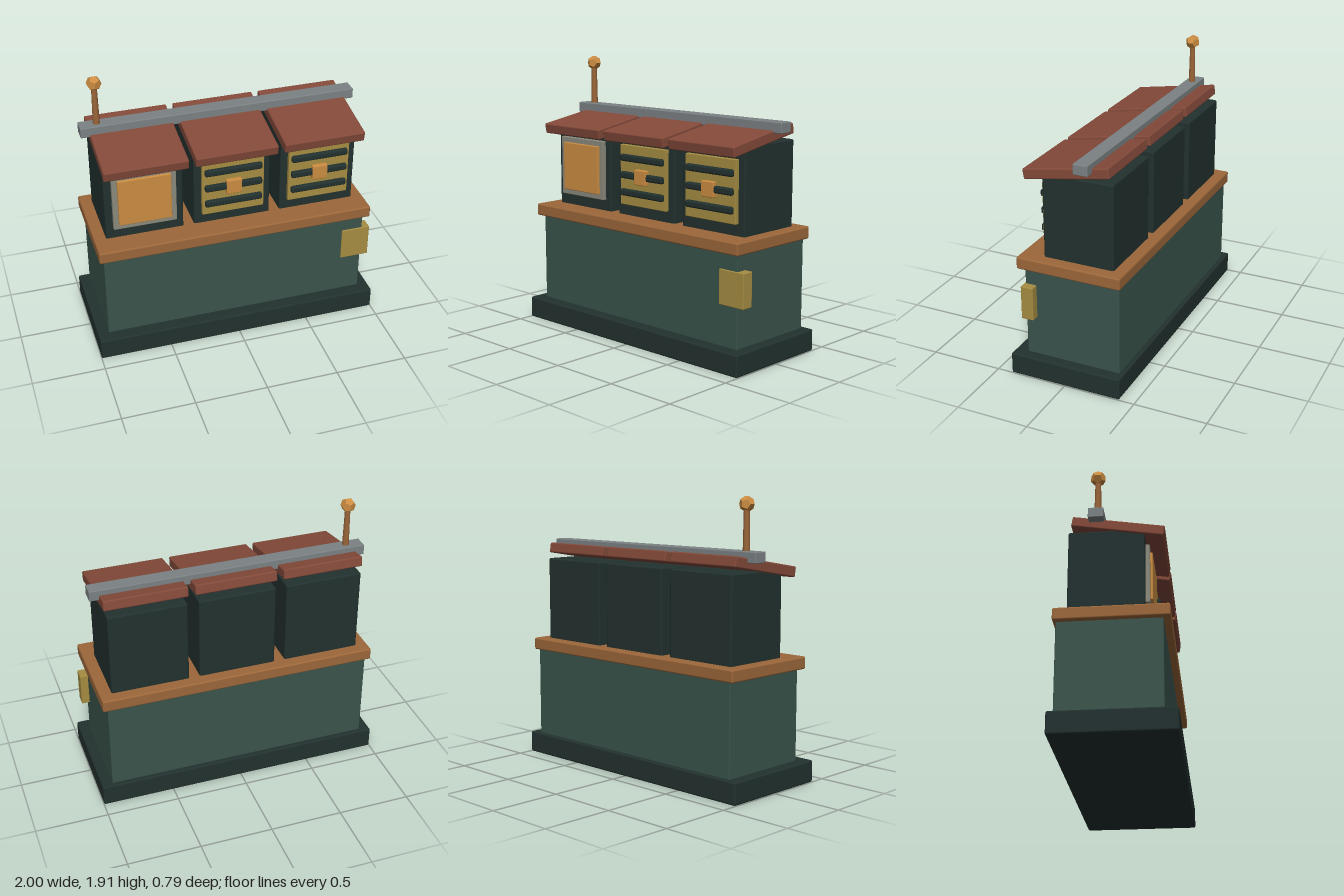
import * as THREE from 'three';
import { RoundedBoxGeometry } from 'three/addons/geometries/RoundedBoxGeometry.js';

const mat = (name, color, flatShading = false) => {
  const m = new THREE.MeshStandardMaterial({ color, flatShading });
  m.name = name;
  return m;
};

export function createModel() {
  const model = new THREE.Group();
  model.name = 'cabinetCounter';

  const dark = mat('darkSlate', 0x22312f);
  const green = mat('bodyGreen', 0x3a544c);
  const wood = mat('wood', 0x9c673a);
  const roofRed = mat('roofRed', 0x844a3a);
  const steel = mat('steel', 0x7c8284);
  const frameGrey = mat('frameGrey', 0x8b8a7c);
  const brass = mat('brass', 0xa68d42);
  const amber = mat('amber', 0xcc8d42);

  // Softly bevelled box given by its minimum and maximum on each axis
  const box = (parent, name, m, [x0, x1], [y0, y1], [z0, z1], bevel = 0.01) => {
    const geo = new RoundedBoxGeometry(x1 - x0, y1 - y0, z1 - z0, 2, bevel);
    const mesh = new THREE.Mesh(geo, m);
    mesh.name = name;
    mesh.position.set((x0 + x1) / 2, (y0 + y1) / 2, (z0 + z1) / 2);
    parent.add(mesh);
    return mesh;
  };

  // Counter
  box(model, 'plinth', dark, [-1, 1], [0, 0.15], [-0.395, 0.395], 0.012);
  box(model, 'counterBody', green, [-0.925, 0.925], [0.14, 0.78], [-0.363, 0.307], 0.006);
  box(model, 'counterTop', wood, [-0.96, 0.96], [0.768, 0.853], [-0.382, 0.352], 0.012);
  box(model, 'cornerBox', brass, [0.775, 0.98], [0.423, 0.658], [0.228, 0.315], 0.006);

  // Three upper cabinets, each with its own sloping roof
  [-0.61, 0, 0.61].forEach((x, i) => {
    const cabinet = new THREE.Group();
    cabinet.name = `cabinet${i + 1}`;
    cabinet.position.x = x;
    model.add(cabinet);

    box(cabinet, 'cabinetBody', dark, [-0.268, 0.268], [0.84, 1.434], [-0.303, 0.19], 0.012);
    const roof = box(cabinet, 'roof', roofRed, [-0.282, 0.282], [1.423, 1.495], [-0.285, 0.321], 0.01);
    roof.rotation.x = 0.17;

    const panel = i === 0 ? frameGrey : brass;
    box(cabinet, 'frontPanel', panel, [-0.217, 0.217], [0.93, 1.348], [0.18, 0.218], 0.005);
    if (i === 0) {
      box(cabinet, 'screen', amber, [-0.181, 0.181], [0.967, 1.31], [0.2, 0.234], 0.006);
    } else {
      for (const y of [1.02, 1.14, 1.26])
        box(cabinet, 'slat', dark, [-0.2, 0.2], [y - 0.024, y + 0.024], [0.204, 0.244], 0.014);
      box(cabinet, 'handle', amber, [-0.054, 0.054], [1.086, 1.19], [0.21, 0.25], 0.006);
    }
  });

  // Ridge rail with a knobbed post
  box(model, 'ridgeRail', steel, [-0.955, 0.955], [1.494, 1.566], [-0.169, -0.068], 0.006);
  const post = new THREE.Mesh(new THREE.CylinderGeometry(0.019, 0.024, 0.28, 8), wood);
  post.name = 'post';
  post.position.set(-0.837, 1.69, -0.118);
  const knob = new THREE.Mesh(
    new THREE.DodecahedronGeometry(0.051, 0), mat('amberKnob', 0xcc8d42, true));
  knob.name = 'knob';
  knob.position.set(-0.837, 1.86, -0.118);
  model.add(post, knob);

  return model;
}
